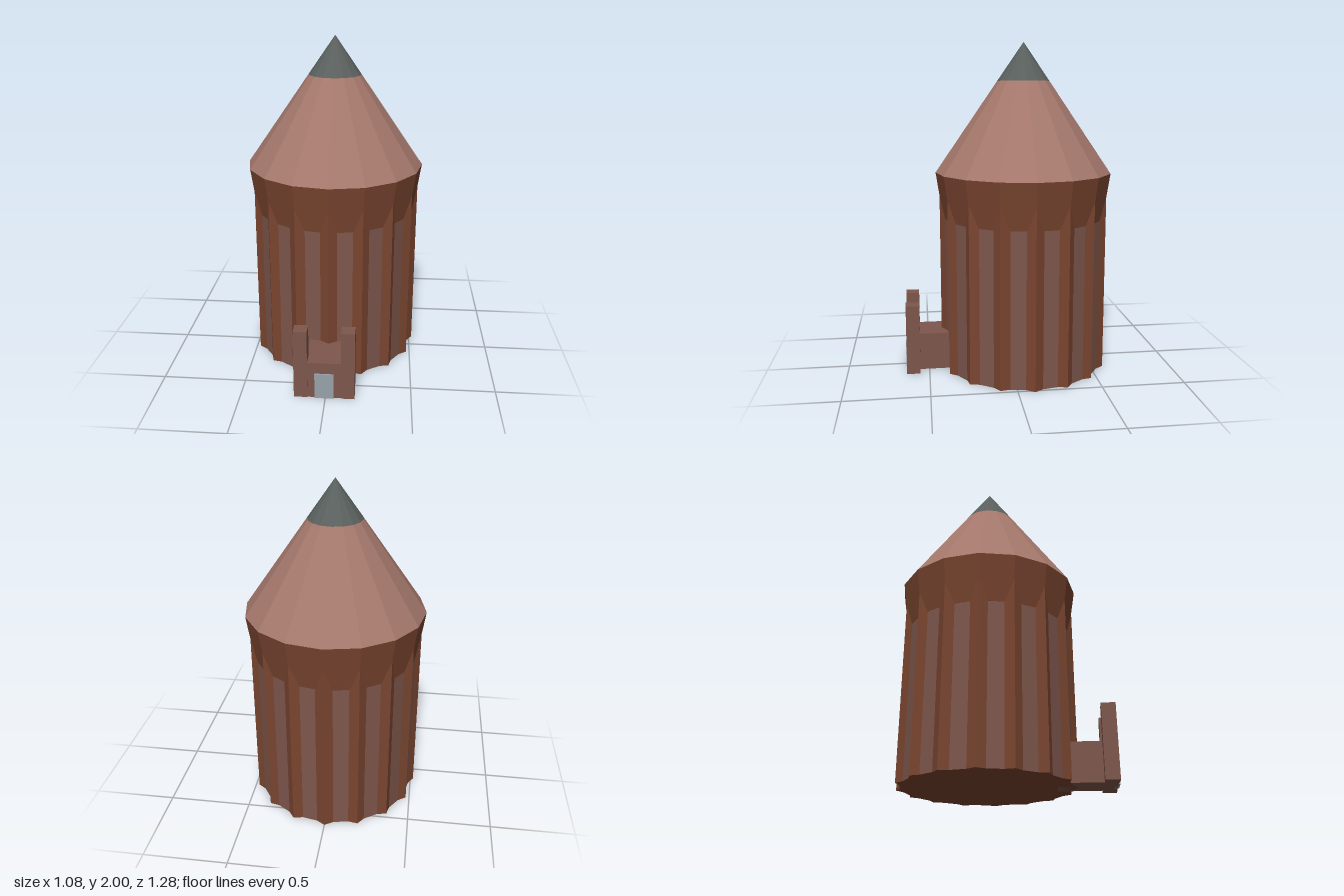
import * as THREE from 'three';

const SIDES = 16;
const STEP = (Math.PI * 2) / SIDES;
const WALL_TOP = 1.1;

const material = (color) => new THREE.MeshStandardMaterial({ color, flatShading: true });

// Point on the tower outline, angle measured from the front
const polar = (r, a, y) => [r * Math.sin(a), y, r * Math.cos(a)];

function facets(name, triangles, mat) {
  const geometry = new THREE.BufferGeometry();
  geometry.setAttribute('position', new THREE.Float32BufferAttribute(triangles.flat(), 3));
  geometry.computeVertexNormals();
  const mesh = new THREE.Mesh(geometry, mat);
  mesh.name = name;
  return mesh;
}

export function createModel() {
  const model = new THREE.Group();
  model.name = 'towerHouse';

  const timber = material(0x7a4530);
  const plaster = material(0x7e574c);
  const roofing = material(0xa5786c);
  const slate = material(0x5a605e);
  const doorPaint = material(0x98a2aa);

  const tower = new THREE.Group();
  tower.name = 'tower';
  tower.position.z = -0.1;
  model.add(tower);

  // Fluted wall: sharp ribs at the corners with recessed flat panels between
  const ribs = [], panels = [], floor = [];
  const ribRadius = 0.518, panelRadius = 0.489, ribHalfAngle = 0.102;
  const strip = (list, r0, a0, r1, a1) => {
    const b0 = polar(r0, a0, 0), b1 = polar(r1, a1, 0);
    const t0 = polar(r0, a0, WALL_TOP), t1 = polar(r1, a1, WALL_TOP);
    list.push(b0, b1, t1, b0, t1, t0);
    floor.push([0, 0, 0], b1, b0);
  };
  for (let i = 0; i < SIDES; i++) {
    const a = i * STEP;
    strip(ribs, panelRadius, a - ribHalfAngle, ribRadius, a);
    strip(ribs, ribRadius, a, panelRadius, a + ribHalfAngle);
    strip(panels, panelRadius, a + ribHalfAngle, panelRadius, a + STEP - ribHalfAngle);
  }
  tower.add(facets('wallRibs', ribs, timber));
  tower.add(facets('wallPanels', panels, plaster));
  tower.add(facets('towerFloor', floor, timber));

  // Flared eaves, roof and roof cap stacked on one axis
  const ring = (name, rTop, rBottom, y0, y1, mat, open = true) => {
    const geometry = new THREE.CylinderGeometry(rTop, rBottom, y1 - y0, SIDES, 1, open);
    const mesh = new THREE.Mesh(geometry, mat);
    mesh.name = name;
    mesh.position.y = (y0 + y1) / 2;
    tower.add(mesh);
  };
  ring('eaves', 0.54, 0.497, 0.94, 1.22, timber, false);
  ring('roof', 0.16, 0.54, 1.22, 1.77, roofing);
  ring('roofCap', 0, 0.16, 1.77, 2, slate);

  // Entrance: passage, gate wall, two turrets and a door
  const entrance = new THREE.Group();
  entrance.name = 'entrance';
  entrance.position.x = -0.007;
  model.add(entrance);
  const box = (name, x0, x1, y1, z0, z1, mat) => {
    const mesh = new THREE.Mesh(new THREE.BoxGeometry(x1 - x0, y1, z1 - z0), mat);
    mesh.name = name;
    mesh.position.set((x0 + x1) / 2, y1 / 2, (z0 + z1) / 2);
    entrance.add(mesh);
  };
  box('passage', -0.11, 0.11, 0.23, 0.3, 0.57, plaster);
  box('gateWall', -0.1, 0.1, 0.23, 0.56, 0.634, plaster);
  for (const side of [-1, 1]) {
    const xs = [side * 0.098, side * 0.178].sort((a, b) => a - b);
    box(side < 0 ? 'rightTurret' : 'leftTurret', xs[0], xs[1], 0.43, 0.556, 0.638, plaster);
  }
  box('door', -0.056, 0.056, 0.16, 0.62, 0.643, doorPaint);

  return model;
}
